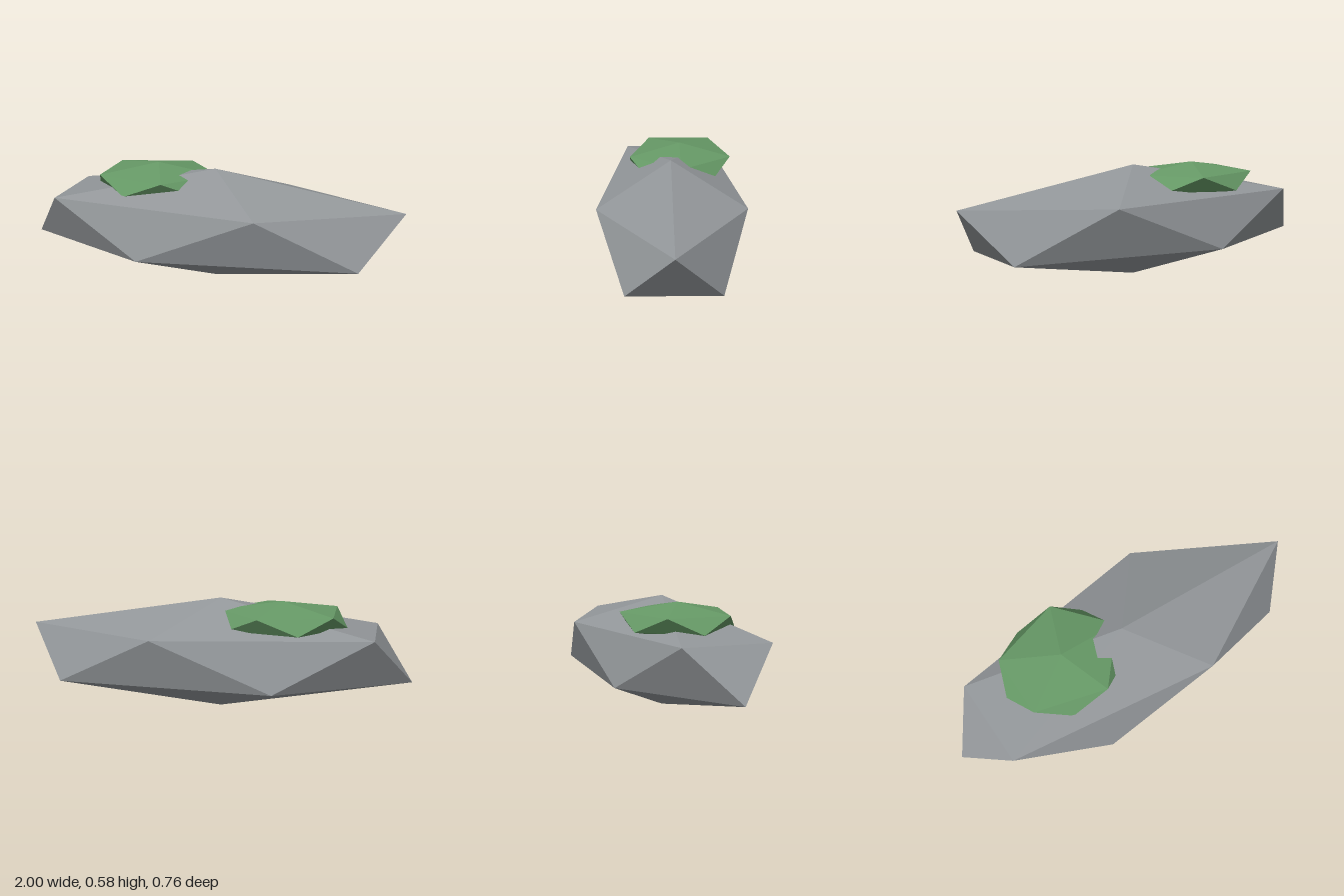
import * as THREE from 'three';

// Faceted 20-sided lump standing on one vertex, with the given radii
function lump(name, color, radii, centre) {
  const geometry = new THREE.IcosahedronGeometry(1, 0);
  const golden = (1 + Math.sqrt(5)) / 2;
  geometry.rotateZ(-Math.atan(1 / golden)); // one vertex straight up
  geometry.scale(...radii);
  geometry.computeVertexNormals();
  const material = new THREE.MeshStandardMaterial({ color, flatShading: true });
  const mesh = new THREE.Mesh(geometry, material);
  mesh.name = name;
  mesh.position.set(...centre);
  return mesh;
}

export function createModel() {
  const group = new THREE.Group();
  group.name = 'mossyRock';
  // Long flat boulder
  group.add(lump('rock', 0x929699, [1.118, 0.289, 0.447], [0, 0.289, 0]));
  // Moss patch sunk into the top, towards the right and back
  group.add(lump('mossPatch', 0x669966, [0.373, 0.09, 0.315], [-0.33, 0.488, -0.053]));
  return group;
}
